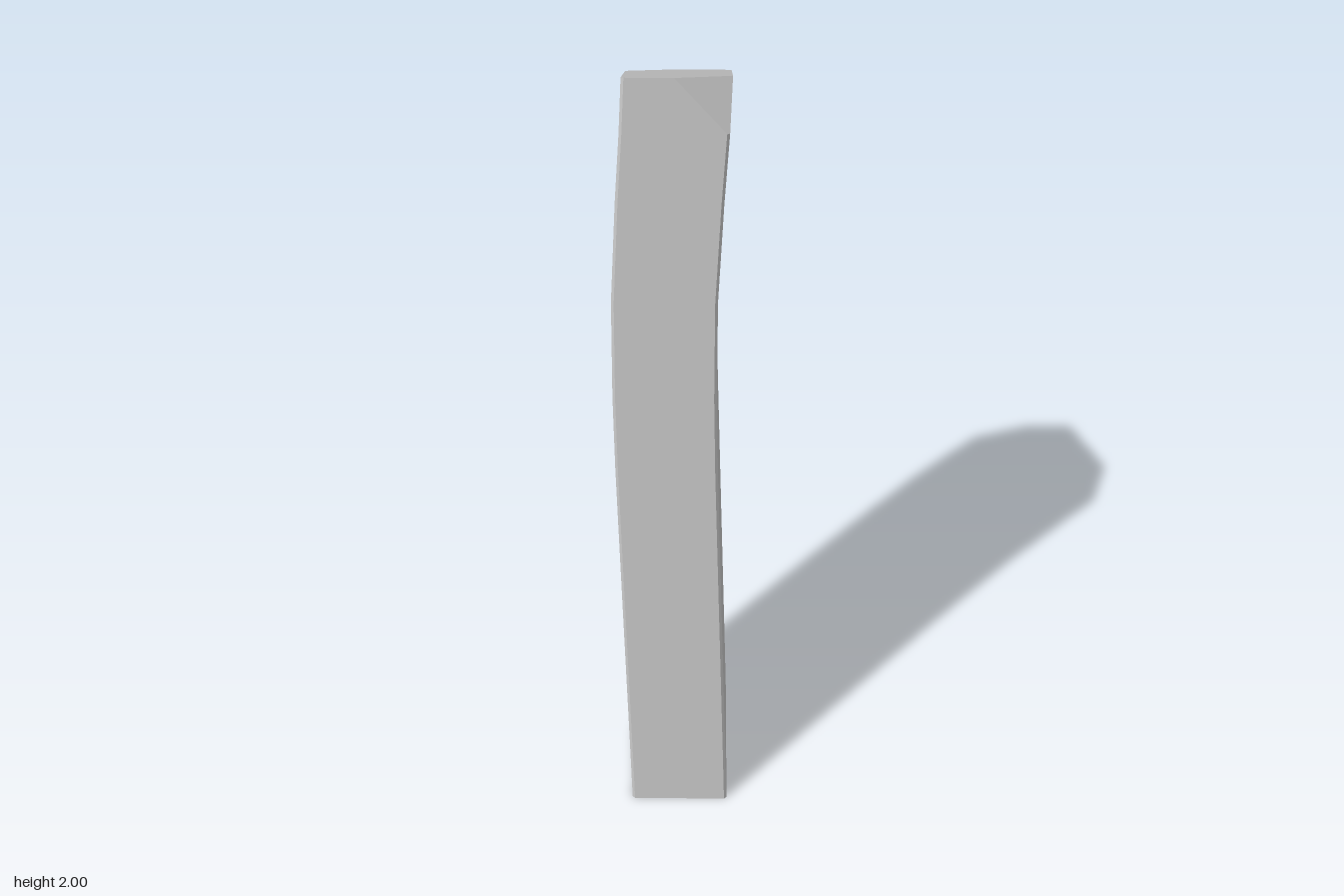
import * as THREE from 'three';
import { toCreasedNormals } from 'three/addons/utils/BufferGeometryUtils.js';

const HALF_W = 0.114, HALF_D = 0.194, BEND_Y = 1.45;

// Sideways shift of the post's centre line: [height, x]
const BEND = [[0, 0.015], [0.14, 0.011], [0.6, -0.003], [1.0, -0.015], [1.2, -0.019],
  [BEND_Y, -0.019], [1.7, -0.008], [1.87, 0.002], [2, 0.0075]];

// Corners in order around the post
const CORNERS = [[1, 1], [-1, 1], [-1, -1], [1, -1]];

// Size of the cut [dx, dz] at a corner: a fine bevel, or a wide chipped end
function cut(sx, sz, y) {
  if (y === 2 && sx > 0 && sz > 0) return [0.12, 0.11];
  if (y === 2 && sx < 0 && sz < 0) return [0.10, 0.08];
  if (y === 0 && sx < 0 && sz < 0) return [0.15, 0.13];
  return [0.006, 0.006];
}

// Upper part is squeezed towards the back so the top slopes
function slope(y, z) {
  if (y <= BEND_Y) return y;
  const top = 1.9 + 0.1 * z / HALF_D;
  return BEND_Y + (y - BEND_Y) * (top - BEND_Y) / (2 - BEND_Y);
}

// Eight-point cross-section with cut corners
function ring([y, centre]) {
  return CORNERS.flatMap(([sx, sz]) => {
    const [dx, dz] = cut(sx, sz, y);
    const side = [sx * HALF_W, sz * (HALF_D - dz)];
    const face = [sx * (HALF_W - dx), sz * HALF_D];
    const pair = sx * sz > 0 ? [side, face] : [face, side];
    return pair.map(([x, z]) => [x + centre, slope(y, z), z]);
  });
}

function postGeometry() {
  const rings = BEND.map(ring), n = 8, index = [];
  // Side walls
  for (let r = 0; r < rings.length - 1; r++) {
    for (let i = 0; i < n; i++) {
      const a = r * n + i, b = r * n + (i + 1) % n;
      index.push(a, a + n, b + n, a, b + n, b);
    }
  }
  // Bottom and sloping top
  const t = (rings.length - 1) * n;
  for (let i = 1; i < n - 1; i++) {
    index.push(0, i, i + 1, t, t + i + 1, t + i);
  }
  const geometry = new THREE.BufferGeometry();
  geometry.setAttribute('position', new THREE.Float32BufferAttribute(rings.flat(2), 3));
  geometry.setIndex(index);
  return toCreasedNormals(geometry, 0.4);
}

export function createModel() {
  const group = new THREE.Group();
  group.name = 'bentPost';
  const post = new THREE.Mesh(postGeometry(), new THREE.MeshStandardMaterial({ color: 0xcccccc }));
  post.name = 'post';
  group.add(post);
  return group;
}
